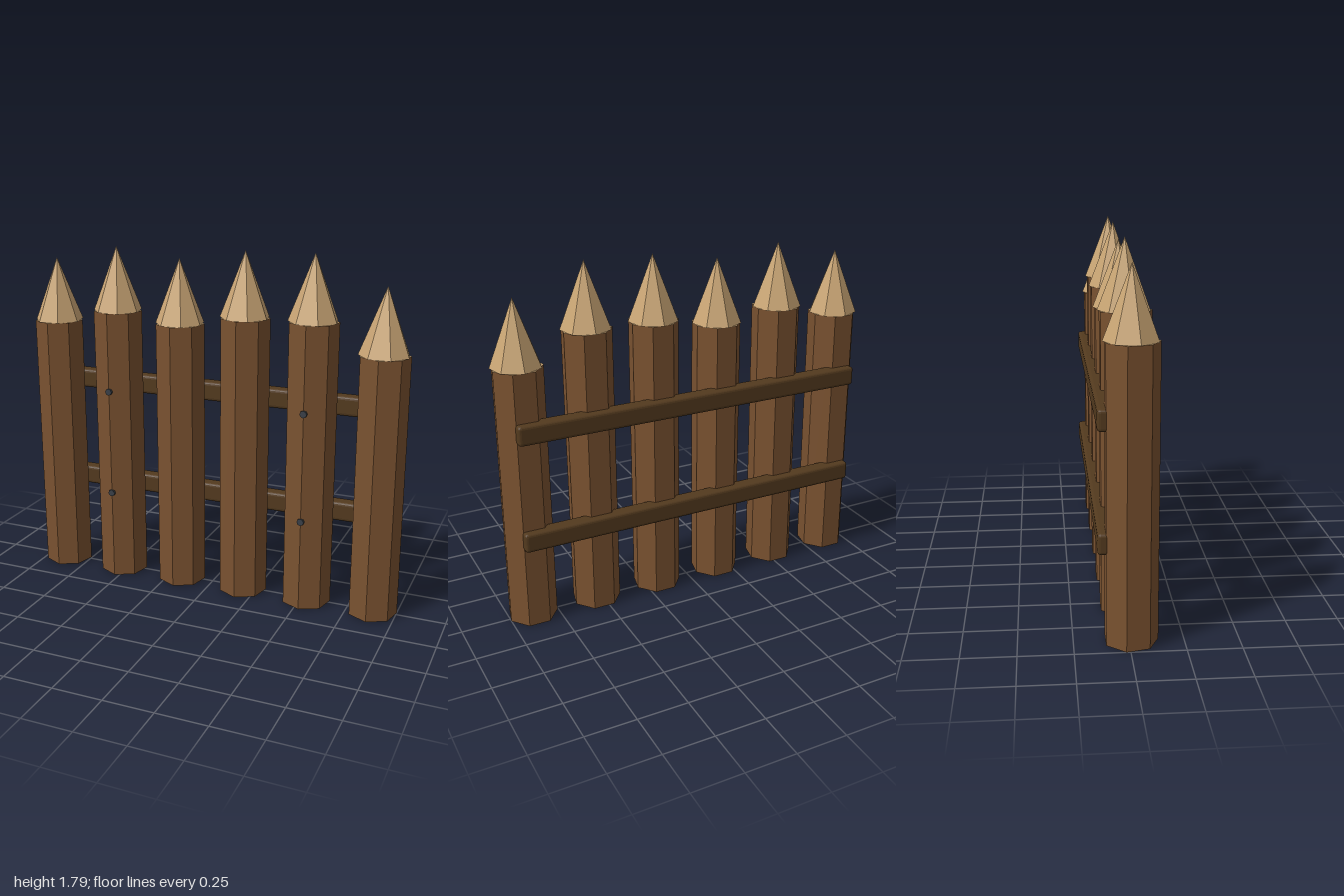
import * as THREE from 'three';
import { RoundedBoxGeometry } from 'three/addons/geometries/RoundedBoxGeometry.js';

const paint = (name, color) => {
  const m = new THREE.MeshStandardMaterial({ color, flatShading: true });
  m.name = name;
  return m;
};

export function createModel() {
  const bark = paint('bark brown', 0x7a5230);
  const cutWood = paint('cut wood', 0xc9a574);
  const railWood = paint('dark rail wood', 0x533a1e);
  const iron = paint('iron', 0x3a4048);

  const fence = new THREE.Group();
  fence.name = 'palisadeFence';

  const add = (parent, name, geometry, material, x, y, z) => {
    const mesh = new THREE.Mesh(geometry, material);
    mesh.name = name;
    mesh.position.set(x, y, z);
    parent.add(mesh);
    return mesh;
  };

  const sides = 7, radius = 0.126, tipHeight = 0.328, postZ = 0.009;
  const spacing = 0.351;
  const heights = [1.371, 1.446, 1.404, 1.46, 1.467, 1.332];
  const railHeights = [0.48, 1.038];

  // Sharpened posts: seven-sided logs, tips turned half a facet
  const tip = new THREE.ConeGeometry(radius, tipHeight, sides);
  tip.rotateY(Math.PI);
  heights.forEach((h, i) => {
    const post = new THREE.Group();
    post.name = `post${i + 1}`;
    post.position.set((i - 2.5) * spacing, 0, postZ);
    const log = new THREE.CylinderGeometry(radius, radius, h, sides);
    add(post, 'log', log, [bark, cutWood, cutWood], 0, h / 2, 0);
    add(post, 'sharpenedTip', tip, cutWood, 0, h + tipHeight / 2, 0);
    fence.add(post);
  });

  // Cross rails along the back, with bolts through the second and fifth posts
  const rail = new RoundedBoxGeometry(1.87, 0.1, 0.077, 2, 0.016);
  const bolt = new THREE.CylinderGeometry(0.018, 0.018, 0.06, 8);
  bolt.rotateX(Math.PI / 2);
  for (const y of railHeights) {
    add(fence, 'crossRail', rail, railWood, 0, y, -0.1035);
    for (const side of [-1, 1]) add(fence, 'bolt', bolt, iron, side * 1.5 * spacing, y, 0.112);
  }

  return fence;
}
